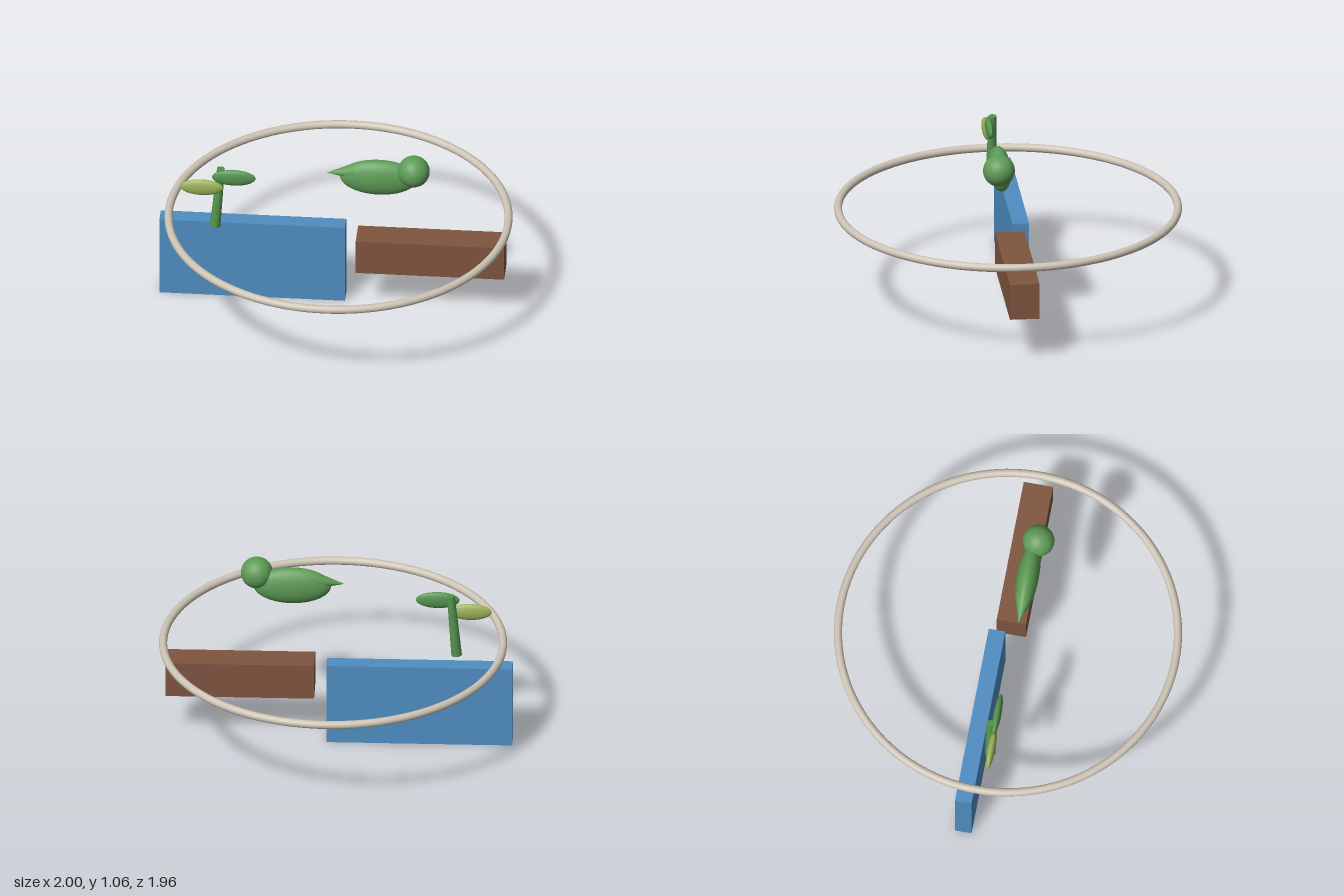
import * as THREE from 'three';

const mat = (name, color) => {
  const m = new THREE.MeshStandardMaterial({ color });
  m.name = name;
  return m;
};

export function createModel() {
  const model = new THREE.Group();
  const blue = mat('blue', 0x4f8ec2);
  const brown = mat('brown', 0x80553f);
  const green = mat('leaf green', 0x5f9c56);
  const darkGreen = mat('dark green', 0x55944f);
  const lime = mat('yellow green', 0x9cb25c);
  const cream = mat('cream', 0xcdc4b5);

  const add = (parent, name, geometry, material, x, y, z) => {
    const mesh = new THREE.Mesh(geometry, material);
    mesh.name = name;
    mesh.position.set(x, y, z);
    parent.add(mesh);
    return mesh;
  };
  // Sphere stretched to three half-sizes
  const ellipsoid = (rx, ry, rz) => new THREE.SphereGeometry(1, 40, 28).scale(rx, ry, rz);
  // Tapered rod between two points
  const rod = (parent, name, a, b, ra, rb, material) => {
    const from = new THREE.Vector3(...a), dir = new THREE.Vector3(...b).sub(from);
    const geo = new THREE.CylinderGeometry(rb, ra, dir.length(), 32);
    const mid = from.addScaledVector(dir, 0.5);
    const mesh = add(parent, name, geo, material, mid.x, mid.y, mid.z);
    mesh.quaternion.setFromUnitVectors(new THREE.Vector3(0, 1, 0), dir.normalize());
  };

  // Blocks
  add(model, 'bluePanel', new THREE.BoxGeometry(1.05, 0.49, 0.095), blue, -0.475, 0.245, -0.069);
  add(model, 'brownBeam', new THREE.BoxGeometry(0.84, 0.21, 0.168), brown, 0.54, 0.365, 0);

  // Horizontal hoop
  const hoop = new THREE.TorusGeometry(0.959, 0.023, 20, 128).rotateX(Math.PI / 2);
  add(model, 'hoop', hoop, cream, 0.016, 0.576, 0);

  // Sprout with two leaves
  const sprout = new THREE.Group();
  sprout.name = 'sprout';
  model.add(sprout);
  rod(sprout, 'stem', [-0.68, 0.5, 0.027], [-0.648, 0.88, 0.021], 0.03, 0.022, darkGreen);
  add(sprout, 'upperLeaf', ellipsoid(0.123, 0.05, 0.023), darkGreen, -0.573, 0.838, 0.047);
  add(sprout, 'lowerLeaf', ellipsoid(0.122, 0.05, 0.023), lime, -0.755, 0.765, 0.047);

  // Bird
  const bird = new THREE.Group();
  bird.name = 'bird';
  model.add(bird);
  add(bird, 'body', ellipsoid(0.22, 0.11, 0.062), green, 0.25, 0.903, 0.071);
  add(bird, 'head', ellipsoid(0.09, 0.09, 0.09), green, 0.45, 0.968, 0.095);
  rod(bird, 'tail', [0.11, 0.936, 0.071], [-0.045, 0.918, 0.071], 0.045, 0, green);

  return model;
}
